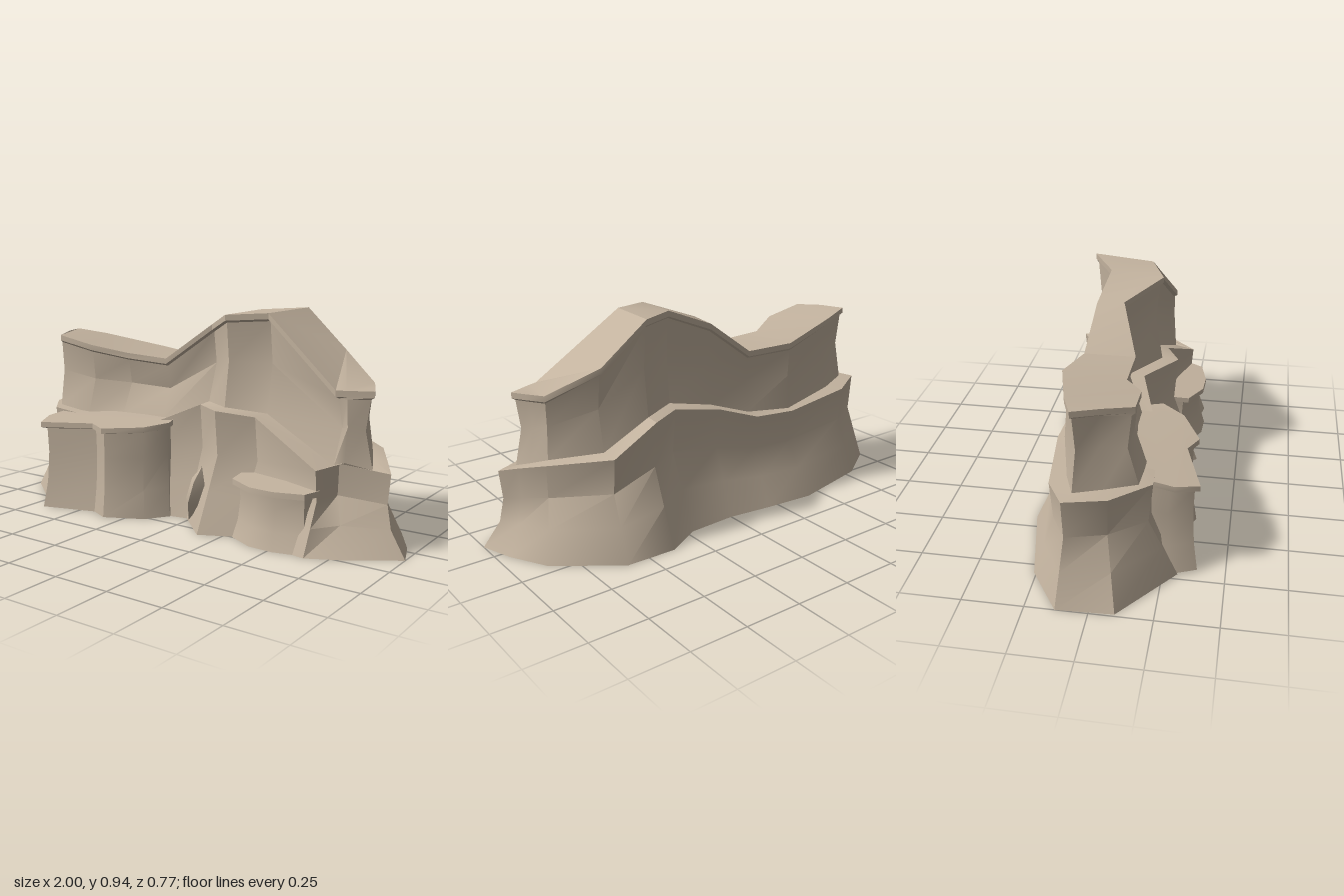
import * as THREE from 'three';
import { toCreasedNormals } from 'three/addons/utils/BufferGeometryUtils.js';

// Stations: base x,z | ledge x,z,y | summit x,z,y | optional wall foot and base flare factors
const BACK = [
  [-1, -.13, -.92, -.11, .44, -.86, -.08, .79],
  [-.8, -.26, -.77, -.19, .42, -.72, -.13, .77],
  [-.43, -.34, -.4, -.24, .4, -.4, -.21, .715],
  [-.2, -.32, -.2, -.225, .41, -.2, -.16, .7],
  [0, -.295, 0, -.2, .48, 0, -.14, .85],
  [.22, -.305, .22, -.18, .52, .2, -.11, .93],
  [.38, -.39, .38, -.275, .525, .38, -.215, .94],
  [.6, -.385, .58, -.27, .41, .58, -.19, .77],
  [.86, -.2, .8, -.11, .385, .77, -.07, .66],
  [.95, -.04, .87, 0, .355, .81, .01, .655, 1, .85],
];
const FRONT = [
  [-.99, .1, -.88, .06, .44, -.82, .03, .79],
  [-.72, .31, -.75, .21, .44, -.77, .145, .78, .8],
  [-.6, .2, -.58, .2, .42, -.58, .14, .745, .6],
  [-.43, .17, -.43, .14, .42, -.43, .06, .71, .6],
  [-.13, .17, -.2, .14, .42, -.2, .06, .7, .6],
  [-.02, .15, 0, .07, .51, 0, -.02, .86, .75],
  [.15, .31, .17, .205, .52, .17, .13, .92],
  [.3, .24, .33, .14, .5, .34, .06, .93],
  [.66, .305, .67, .235, .34, .7, .14, .65],
  [.8, .235, .72, .13, .355, .74, .125, .65, 1, .65],
  [1, .1, .92, .08, .33, .84, .08, .65, 1, .9],
];

const lerp = THREE.MathUtils.lerp;

// Creased geometry from a flat list of triangle corners
function toGeometry(points) {
  const geometry = new THREE.BufferGeometry().setFromPoints(points);
  return toCreasedNormals(geometry, 0.55);
}

// Joins rings of equal length, running clockwise from above
function loft(rings, closed = true) {
  const out = [];
  for (let r = 0; r < rings.length - 1; r++) {
    const low = rings[r], high = rings[r + 1];
    const count = closed ? low.length : low.length - 1;
    for (let i = 0; i < count; i++) {
      const j = (i + 1) % low.length;
      out.push(low[i], high[i], low[j], low[j], high[i], high[j]);
    }
  }
  return out;
}

// Adds a triangle that always faces up
function upward(out, a, b, c) {
  const n = b.clone().sub(a).cross(c.clone().sub(a));
  out.push(a, ...(n.y > 0 ? [b, c] : [c, b]));
}

// Pointed four-sided splinter
function splinter() {
  const ring = (w, y) => [[-1, 0], [0, -1], [1, 0], [0, 1]].map(
    ([x, z]) => new THREE.Vector3(x * w, y, z * w));
  return loft([ring(.001, -.13), ring(.04, -.04), ring(.035, .06), ring(.001, .13)]);
}

export function createModel() {
  const group = new THREE.Group();
  const stone = new THREE.MeshStandardMaterial({ color: 0xc2b29e, side: THREE.DoubleSide });
  stone.name = 'sandstone';
  const add = (name, geometry) => {
    const mesh = new THREE.Mesh(geometry, stone);
    mesh.name = name;
    group.add(mesh);
    return mesh;
  };

  const stations = [...BACK, ...[...FRONT].reverse()];

  // Flared lower cliff: kOf runs from base to ledge, h is the share of ledge height
  const lower = (kOf, h) => stations.map(([bx, bz, lx, lz, ly, , , , , flare = .6]) => {
    const k = kOf(flare);
    return new THREE.Vector3(lerp(bx, lx, k), ly * h, lerp(bz, lz, k));
  });
  const ledge = lower(() => 1, 1);
  add('lowerCliff', toGeometry(loft([
    lower(() => 0, 0), lower(flare => flare, .32), lower(() => 1.15, .62), ledge])));

  // Waisted upper cliff: kOf runs from ledge to summit, yOf gives the height
  const upper = (kOf, yOf) => stations.map(([, , lx, lz, ly, tx, tz, ty, footK = 1]) => {
    const k = kOf(footK);
    return new THREE.Vector3(lerp(lx, tx, k), yOf(ly, ty), lerp(lz, tz, k));
  });
  const foot = upper(footK => footK, l => l + .005);
  const neck = upper(() => 1.2, (l, t) => t - .034);
  add('ledge', toGeometry(loft([ledge, foot])));
  add('upperCliff', toGeometry(loft([foot, upper(() => 1.42, (l, t) => lerp(l, t, .5)), neck])));

  // Overhanging rim and the undulating summit
  const rimLow = upper(() => 1, (l, t) => t - .025);
  const rimTop = upper(() => 1, (l, t) => t);
  add('summitRim', toGeometry(loft([neck, rimLow, rimTop])));
  const back = rimTop.slice(0, BACK.length);
  const front = rimTop.slice(BACK.length).reverse();
  const cap = [];
  let i = 0, j = 0;
  while (i < back.length - 1 || j < front.length - 1) {
    const stepBack = j === front.length - 1 ||
      (i < back.length - 1 && back[i + 1].x < front[j + 1].x);
    if (stepBack) upward(cap, back[i], front[j], back[++i]);
    else upward(cap, back[i], front[j], front[++j]);
  }
  add('summit', toGeometry(cap));

  // Terraces: waisted walls open to the cliff behind, a thin rim and a sloping top
  function terrace(name, outline, yOf, waist) {
    const cx = outline.reduce((s, p) => s + p[0], 0) / outline.length;
    const ring = (inset, y) => outline.map(([x, z]) => new THREE.Vector3(
      x + (cx - x) * inset, y(z), z - inset * .32));
    const rim = ring(0, yOf);
    const neckRing = ring(waist, z => yOf(z) - .03);
    add(name + 'Wall', toGeometry(loft([
      ring(0, () => 0), ring(waist * .8, z => yOf(z) * .3),
      ring(waist * 1.15, z => yOf(z) * .65), neckRing], false)));
    add(name + 'Rim', toGeometry(loft([neckRing, ring(0, z => yOf(z) - .024), rim], false)));
    const top = [];
    const flat = outline.map(([x, z]) => new THREE.Vector2(x, z));
    THREE.ShapeUtils.triangulateShape(flat, []).forEach(
      ([a, b, c]) => upward(top, rim[a], rim[b], rim[c]));
    add(name + 'Top', toGeometry(top));
  }
  terrace('highTerrace',
    [[-.14, .07], [-.1, .17], [-.17, .27], [-.34, .352], [-.43, .31], [-.68, .385], [-.72, .29], [-.7, .13]],
    z => Math.min(.435, .405 + (.38 - z) * .13), .07);
  terrace('lowTerrace',
    [[.66, .14], [.68, .22], [.65, .285], [.52, .315], [.41, .31], [.29, .25], [.28, .16], [.35, .1]],
    z => .25 + (.31 - z) * .08, .09);

  // Leaning shard against the front buttress
  const shard = add('shard', toGeometry(splinter()));
  shard.position.set(.06, .14, .195);
  shard.rotation.z = -.28;
  return group;
}
